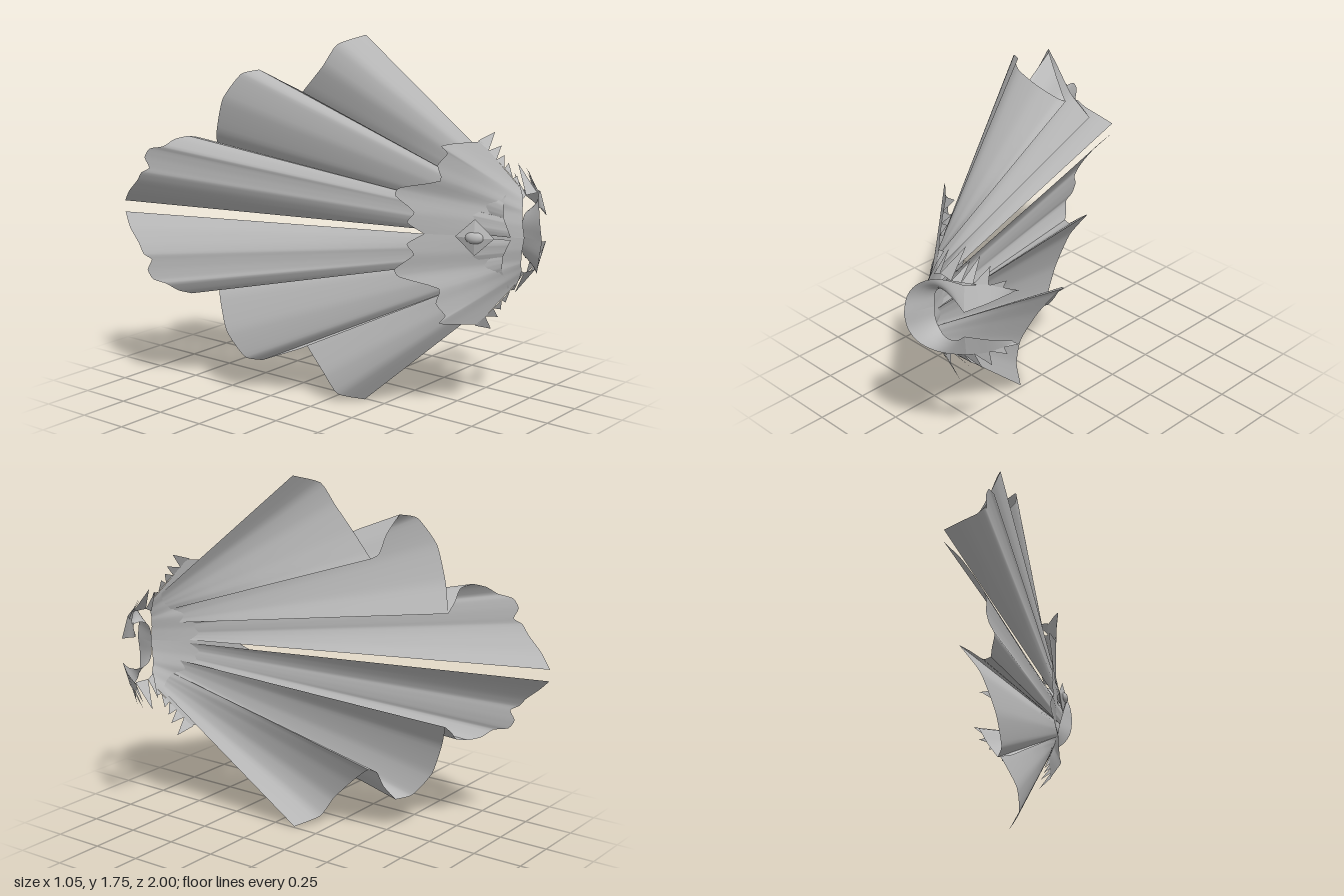
import * as THREE from 'three';

const MID = 0.875; // height of the mirror plane
const cloth = new THREE.MeshStandardMaterial({ color: 0xbababa, side: THREE.DoubleSide });
cloth.name = 'grey cloth';

// points are [x, distance from the mirror plane, z]
const place = (p, s) => new THREE.Vector3(p[0], MID + s * p[1], p[2]);

// evenly sampled curve through a few points
function sample(points, s, n, tension) {
  const v = points.map((p) => place(p, s));
  if (v.length === 2) {
    return Array.from({ length: n + 1 }, (_, i) => v[0].clone().lerp(v[1], i / n));
  }
  const curve = new THREE.CatmullRomCurve3(v, false, 'catmullrom', tension);
  return Array.from({ length: n + 1 }, (_, i) => curve.getPoint(i / n));
}

// smooth sheet stretched between two edges
function sheet(name, from, to, s, n = 16, rows = 4, tension = 0.3) {
  const a = sample(from, s, n, tension), b = sample(to, s, n, tension);
  const pos = [], index = [];
  for (let r = 0; r <= rows; r++) {
    for (let i = 0; i <= n; i++) pos.push(...a[i].clone().lerp(b[i], r / rows).toArray());
  }
  for (let r = 0; r < rows; r++) {
    for (let i = 0; i < n; i++) {
      const k = r * (n + 1) + i, m = k + n + 1;
      if (s > 0) index.push(k, m, k + 1, k + 1, m, m + 1);
      else index.push(k, k + 1, m, k + 1, m + 1, m);
    }
  }
  return finish(name, pos, index);
}

// row of pointed tufts standing on a base line
function tufts(name, base, tips, s) {
  const pos = [], index = [];
  tips.forEach((tip, i) => {
    for (const p of [base[i], base[i + 1], tip]) pos.push(...place(p, s).toArray());
    index.push(3 * i, 3 * i + (s > 0 ? 1 : 2), 3 * i + (s > 0 ? 2 : 1));
  });
  return finish(name, pos, index);
}

function finish(name, pos, index) {
  const g = new THREE.BufferGeometry();
  g.setAttribute('position', new THREE.Float32BufferAttribute(pos, 3));
  g.setIndex(index);
  g.computeVertexNormals();
  const mesh = new THREE.Mesh(g, cloth);
  mesh.name = name;
  return mesh;
}

function createHalf(s) {
  const half = new THREE.Group();
  half.name = s > 0 ? 'upperHalf' : 'lowerHalf';

  // long cape: three billowing panels with pleats between them
  const neckA = [0.18, 0.245, 0.82], neckB = [0.13, 0.16, 0.81];
  const neckC = [0.12, 0.09, 0.82], neckD = [0.12, 0.006, 0.86];
  const ridgeAB = [-0.09, 0.515, -0.25], peakB = [-0.25, 0.705, -0.3];
  const ridgeBC = [-0.24, 0.275, -0.58], peakC = [-0.42, 0.385, -0.6];
  half.add(
    sheet('outerPanel', [neckA, neckB],
      [[-0.01, 0.875, 0.14], [-0.12, 0.835, 0.06], [-0.15, 0.735, 0], [-0.14, 0.625, -0.11], [-0.11, 0.54, -0.21], ridgeAB], s, 20),
    sheet('outerPleat', [neckB, neckB],
      [ridgeAB, [-0.13, 0.535, -0.27], [-0.18, 0.62, -0.275], peakB], s, 9),
    sheet('pleatLining', [neckB, neckB], [[-0.2, 0.625, -0.11], peakB], s, 3),
    sheet('middlePanel', [neckB, neckC],
      [peakB, [-0.31, 0.685, -0.36], [-0.34, 0.565, -0.45], [-0.31, 0.4, -0.52], ridgeBC], s, 20),
    sheet('innerPleat', [neckC, neckC],
      [ridgeBC, [-0.3, 0.32, -0.58], [-0.36, 0.37, -0.57], peakC], s, 9),
    sheet('innerPanel', [neckC, neckD],
      [peakC, [-0.46, 0.37, -0.65], [-0.5, 0.335, -0.69], [-0.52, 0.32, -0.76], [-0.525, 0.275, -0.79],
        [-0.515, 0.225, -0.77], [-0.53, 0.2, -0.81], [-0.52, 0.155, -0.85], [-0.5, 0.09, -0.93], [-0.46, 0.028, -1]], s, 27),
  );

  // short shoulder cape with a scalloped hem
  half.add(sheet('shoulderCape',
    [[0.17, 0, 0.9], [0.17, 0.06, 0.89], [0.18, 0.12, 0.88], [0.2, 0.17, 0.87], [0.21, 0.215, 0.85]],
    [[-0.04, 0, 0.5], [-0.08, 0.05, 0.43], [-0.065, 0.1, 0.46], [-0.1, 0.17, 0.38], [-0.09, 0.21, 0.4],
      [-0.02, 0.25, 0.57], [-0.03, 0.32, 0.56], [-0.01, 0.375, 0.6], [-0.03, 0.41, 0.58], [0.02, 0.42, 0.62], [0.11, 0.425, 0.7]],
    s, 30));
  half.add(tufts('shoulderTufts',
    [[0.21, 0.215, 0.85], [0.19, 0.26, 0.82], [0.165, 0.305, 0.79], [0.145, 0.345, 0.76], [0.125, 0.385, 0.73], [0.1, 0.43, 0.69]],
    [[0.225, 0.265, 0.82], [0.2, 0.325, 0.79], [0.195, 0.36, 0.77], [0.2, 0.4, 0.75], [0.19, 0.46, 0.72]], s));

  // flared standing collar and its front lapel
  half.add(
    sheet('collar',
      [[0.2, 0, 0.865], [0.205, 0.06, 0.865], [0.23, 0.1, 0.865], [0.28, 0.118, 0.875], [0.35, 0.1, 0.88], [0.4, 0.06, 0.875]],
      [[0.155, 0, 1], [0.16, 0.08, 0.985], [0.19, 0.14, 0.96], [0.24, 0.175, 0.925], [0.3, 0.185, 0.89], [0.38, 0.175, 0.85]],
      s, 20, 4, 0.5),
    sheet('collarLapel',
      [[0.4, 0.06, 0.875], [0.455, 0.09, 0.79], [0.5, 0.12, 0.69]],
      [[0.38, 0.175, 0.85], [0.44, 0.17, 0.77], [0.51, 0.135, 0.68]], s, 8),
  );

  // tufts around the collar
  half.add(tufts('collarTufts',
    [[0.2, 0.16, 0.86], [0.24, 0.18, 0.86], [0.32, 0.18, 0.87], [0.36, 0.18, 0.85], [0.4, 0.175, 0.82],
      [0.44, 0.165, 0.77], [0.48, 0.15, 0.72], [0.5, 0.125, 0.69]],
    [[0.235, 0.275, 0.8], [0.31, 0.305, 0.77], [0.355, 0.26, 0.79], [0.385, 0.285, 0.76], [0.435, 0.25, 0.75],
      [0.49, 0.185, 0.71], [0.525, 0.135, 0.67]], s));
  return half;
}

export function createModel() {
  const model = new THREE.Group();
  model.name = 'cape';
  model.add(createHalf(1), createHalf(-1));

  // pointed brooch on the back of the shoulders
  const brooch = new THREE.Group();
  brooch.name = 'brooch';
  const plate = new THREE.Mesh(new THREE.OctahedronGeometry(1), cloth);
  plate.name = 'broochPlate';
  plate.scale.set(0.09, 0.085, 0.02);
  const stone = new THREE.Mesh(new THREE.SphereGeometry(0.03, 16, 10), cloth);
  stone.name = 'broochStone';
  stone.scale.set(1.5, 1, 0.9);
  brooch.add(plate, stone);
  brooch.position.set(0.04, MID, 0.72);
  brooch.rotation.y = -1.2;
  model.add(brooch);
  return model;
}
